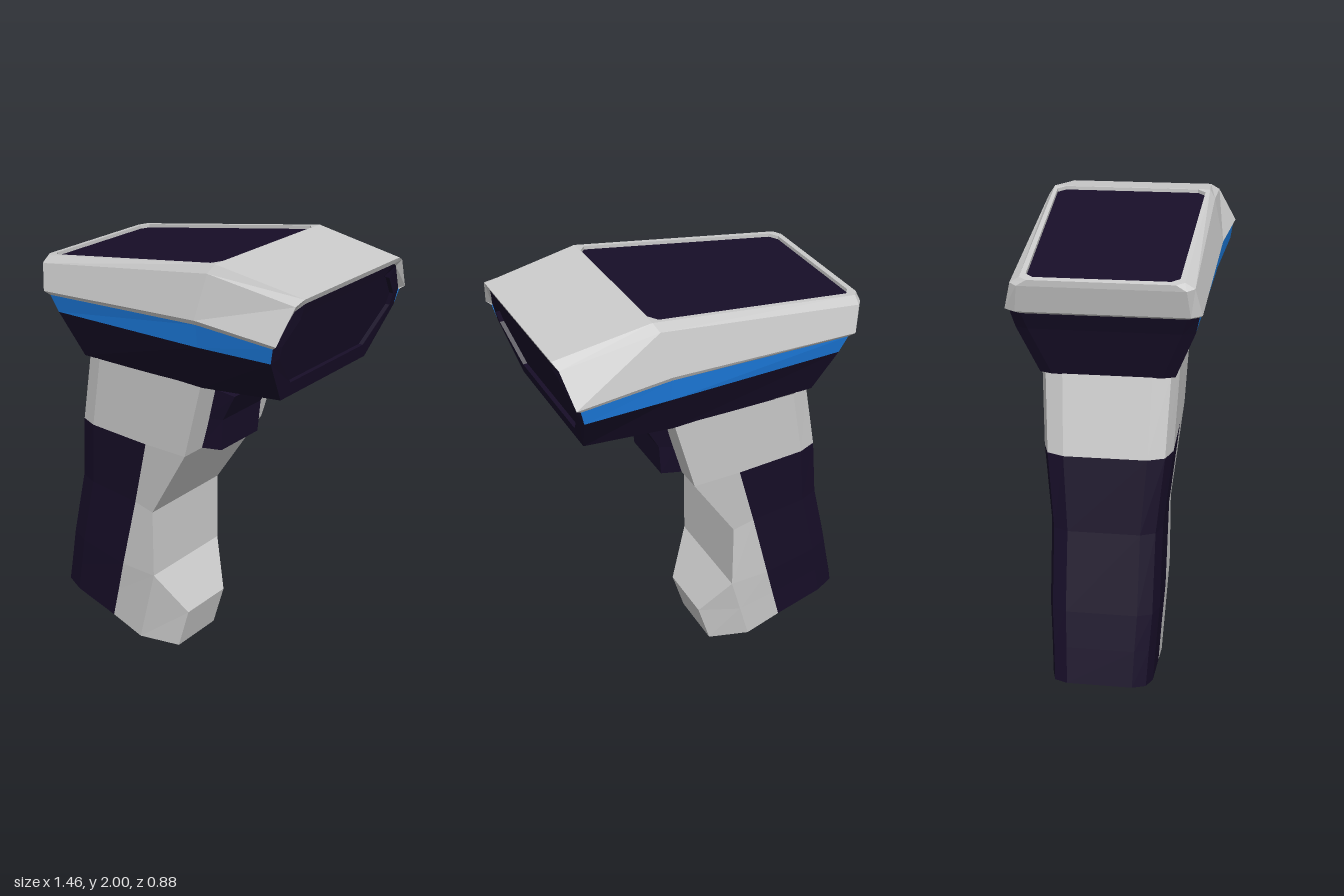
import * as THREE from 'three';

const mat = (color) => new THREE.MeshStandardMaterial({ color, flatShading: true, side: THREE.DoubleSide });
const GREY = mat(0xcccccc), DARK = mat(0x170e28), BLUE = mat(0x1c7ce0);

// mirror a half section (z > 0) into a full row running from -z to +z
const flip = (half) => half.map(([x, y, z]) => [x, y, -z]).reverse();
const wrap = (half) => [...flip(half), ...half];
const mix = (a, b, t) => a.map((v, i) => v + (b[i] - v) * t);

// triangles between successive rows
function strip(rows, closed = false) {
  const tris = [];
  for (let r = 0; r + 1 < rows.length; r++) {
    const a = rows[r], b = rows[r + 1], n = a.length;
    for (let i = 0; i < (closed ? n : n - 1); i++) {
      const j = (i + 1) % n;
      tris.push([a[i], a[j], b[j]], [a[i], b[j], b[i]]);
    }
  }
  return tris;
}

// fill a mirrored loop with cross bars from side to side
function cap(row, down = false) {
  const tris = [], n = row.length;
  for (let i = 0; i < n / 2 - 1; i++) {
    const [a, b, c, d] = [row[i], row[i + 1], row[n - 2 - i], row[n - 1 - i]];
    tris.push([a, b, c], [a, c, d]);
  }
  return down ? tris.map(([a, b, c]) => [a, c, b]) : tris;
}

function mesh(name, tris, material) {
  const solid = tris.filter(([a, b, c]) => new THREE.Triangle(
    new THREE.Vector3(...a), new THREE.Vector3(...b), new THREE.Vector3(...c)).getArea() > 1e-7);
  const g = new THREE.BufferGeometry();
  g.setAttribute('position', new THREE.Float32BufferAttribute(solid.flat(2), 3));
  g.computeVertexNormals();
  const m = new THREE.Mesh(g, material);
  m.name = name;
  return m;
}

function makeHandle() {
  const group = new THREE.Group();
  group.name = 'handle';
  // back edge, grip seam, side corner, front corner, half width; bottom to top
  const levels = [
    { b: [-0.73, 0.15], g: [-0.39, 0.07], h: [-0.22, 0.02, 0.21], f: [-0.05, 0, 0.13], w: 0.212 },
    { b: [-0.695, 0.3], g: [-0.345, 0.235], h: [-0.165, 0.215, 0.22], f: [0.01, 0.21, 0.13], w: 0.22 },
    { b: [-0.66, 0.45], g: [-0.3, 0.4], h: [-0.11, 0.41, 0.23], f: [-0.11, 0.41, 0.23], w: 0.23 },
    { b: [-0.58, 0.78], g: [-0.21, 0.76], h: [-0.11, 0.74, 0.23], f: [-0.11, 0.74, 0.23], w: 0.232 },
    { b: [-0.53, 1.09], g: [-0.11, 1.09], h: [0.11, 1.1, 0.265], f: [0.11, 1.1, 0.265], w: 0.265 },
    { b: [-0.46, 1.42], g: [-0.04, 1.44], h: [0.21, 1.455, 0.28], f: [0.21, 1.455, 0.28], w: 0.28 },
  ];
  const back = ({ b, g, w }) => [[0, 0.64], [0.03, 0.9], [0.11, 1], [g[0] - b[0], 1]]
    .map(([dx, k]) => [...mix(b, g, dx / (g[0] - b[0])), w * k]);
  const front = ({ g, h, f, w }) => {
    const side = [[...g, w], h, f];
    return [...side, ...flip(side)];
  };
  const lower = levels.slice(0, 5), upper = levels.slice(4);
  group.add(
    mesh('rearGrip', strip(lower.map((l) => wrap(back(l)))), DARK),
    mesh('handleFront', strip(lower.map(front)), GREY),
    mesh('handleNeck', strip(upper.map((l) => wrap([...back(l), l.h, l.f])), true), GREY),
    mesh('handleBase', cap(wrap([...back(levels[0]), levels[0].h, levels[0].f]), true), DARK));

  // trigger with bevelled sides
  const trig = [
    [[0.1, 1.1, 0.155], [0.195, 1.105, 0.125]],
    [[0.14, 1.25, 0.16], [0.205, 1.25, 0.13]],
    [[0.19, 1.4, 0.168], [0.27, 1.375, 0.135]],
  ].map(wrap);
  group.add(mesh('trigger', [...strip(trig, true), ...cap(trig[2]), ...cap(trig[0], true)], DARK));
  return group;
}

function makeHead() {
  const group = new THREE.Group();
  group.name = 'head';
  // half outlines: back, back corner, middle, nose
  const bottom = [[-0.46, 1.415, 0.22], [-0.445, 1.417, 0.27], [0.22, 1.45, 0.28], [0.61, 1.51, 0.29]];
  const bandLow = [[-0.525, 1.62, 0.3], [-0.51, 1.622, 0.35], [0.28, 1.67, 0.385], [0.655, 1.71, 0.42]];
  const bandTop = [[-0.555, 1.69, 0.32], [-0.54, 1.695, 0.365], [0.28, 1.765, 0.395], [0.67, 1.775, 0.43]];
  const coverLow = [[-0.585, 1.705, 0.335], [-0.565, 1.71, 0.378], [0.28, 1.785, 0.405], [0.69, 1.79, 0.44]];
  const coverMid = [[-0.617, 1.815, 0.32], [-0.59, 1.82, 0.35], [0.31, 1.965, 0.363], [0.714, 1.925, 0.36]];
  const coverTop = [[-0.62, 1.84, 0.28], [-0.595, 1.844, 0.312], [0.33, 2, 0.34], [0.725, 1.945, 0.32]];

  // lower shell, with the coloured band along both sides
  group.add(mesh('lowerShell',
    [...strip([bottom, bandLow].map(wrap)), ...cap(wrap(bottom), true)], DARK));
  group.add(mesh('rearBand', strip([bandLow, bandTop].map((r) => wrap(r.slice(0, 2)))), DARK));
  const sides = [bandLow, bandTop].map((r) => r.slice(1));
  group.add(mesh('leftBand', strip(sides), BLUE), mesh('rightBand', strip(sides.map(flip)), BLUE));

  // upper cover with its sloping front panel
  group.add(mesh('upperCover', [
    ...strip([bandTop, coverLow, coverMid, coverTop].map(wrap)),
    ...cap(wrap(coverTop.slice(2)))], GREY));

  // sunken screen inside a thin rim
  const onTop = ([x, z], drop = 0) => [x, 1.84 + (x + 0.62) * 0.1684 - drop, z];
  const plan = [[-0.592, 0.26], [-0.565, 0.292], [0.295, 0.322], [0.325, 0.288]];
  const rimOut = wrap([...coverTop.slice(0, 3), [0.33, 2, 0.3]]);
  const rimIn = wrap(plan.map((p) => onTop(p)));
  const sunk = wrap(plan.map((p) => onTop(p, 0.015)));
  group.add(mesh('screenRim', strip([rimOut, rimIn, sunk], true), GREY));
  group.add(mesh('screen', cap(sunk), DARK));

  // nose face with a sunken window
  const nose = [[0.715, 1.922, 0.3], [0.698, 1.9, 0.342], [0.668, 1.78, 0.425], [0.655, 1.71, 0.42], [0.61, 1.51, 0.29]];
  const onNose = ([y, z], back) => [0.61 + (y - 1.51) * 0.255 - back, y, z];
  const win = [[1.88, 0.25], [1.86, 0.3], [1.77, 0.378], [1.72, 0.375], [1.575, 0.25]];
  const winIn = wrap(win.map((p) => onNose(p, 0.002)));
  const winBack = wrap(win.map((p) => onNose(p, 0.02)));
  group.add(mesh('noseLip', strip([
    wrap([coverTop[3], coverMid[3], coverLow[3]]), wrap(nose.slice(0, 3))]), GREY));
  group.add(mesh('noseFace', strip([wrap(nose), winIn, winBack], true), DARK));
  group.add(mesh('noseWindow', cap(winBack), DARK));
  return group;
}

export function createModel() {
  const model = new THREE.Group();
  model.name = 'handheldScanner';
  model.add(makeHandle(), makeHead());
  return model;
}
